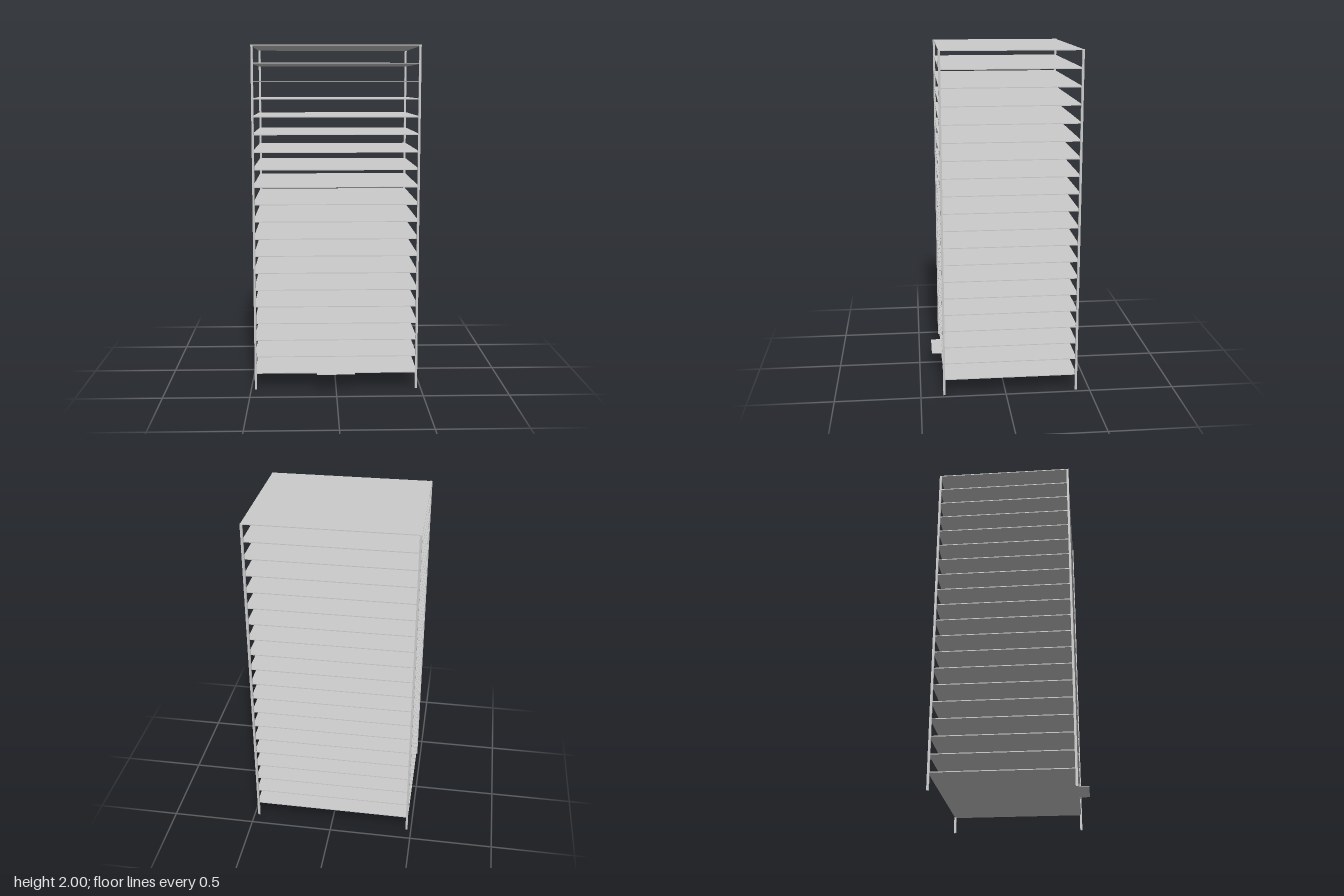
import * as THREE from 'three';

export function createModel() {
  const model = new THREE.Group();
  const material = new THREE.MeshStandardMaterial({ color: 0xcccccc, flatShading: true });

  // Box given by its lower and upper limits on each axis
  function addBox(name, [x0, x1], [y0, y1], [z0, z1]) {
    const mesh = new THREE.Mesh(new THREE.BoxGeometry(x1 - x0, y1 - y0, z1 - z0), material);
    mesh.position.set((x0 + x1) / 2, (y0 + y1) / 2, (z0 + z1) / 2);
    mesh.name = name;
    model.add(mesh);
  }

  const floors = 20, storey = 0.1, slab = 0.005;
  const halfWidth = 0.478, back = -0.426, front = 0.369, column = 0.013;

  // Floor slabs, the last one being the roof
  for (let i = 1; i <= floors; i++) {
    const top = i * storey;
    addBox(i === floors ? 'roofSlab' : `floorSlab${i}`,
      [-halfWidth, halfWidth], [top - slab, top], [back + 0.005, front - 0.004]);
  }

  // Corner columns, standing slightly proud of the slabs at front and back
  for (const [side, x] of [['right', -halfWidth - 0.001], ['left', halfWidth + 0.001 - column]]) {
    addBox(`${side}FrontColumn`, [x, x + column], [0, 2], [front - column, front]);
    addBox(`${side}BackColumn`, [x, x + column], [0, 2], [back, back + column]);
  }

  // Thin entrance canopy
  addBox('entranceCanopy', [-0.112, 0.11], [0.105, 0.108], [front - 0.004, 0.424]);

  return model;
}
